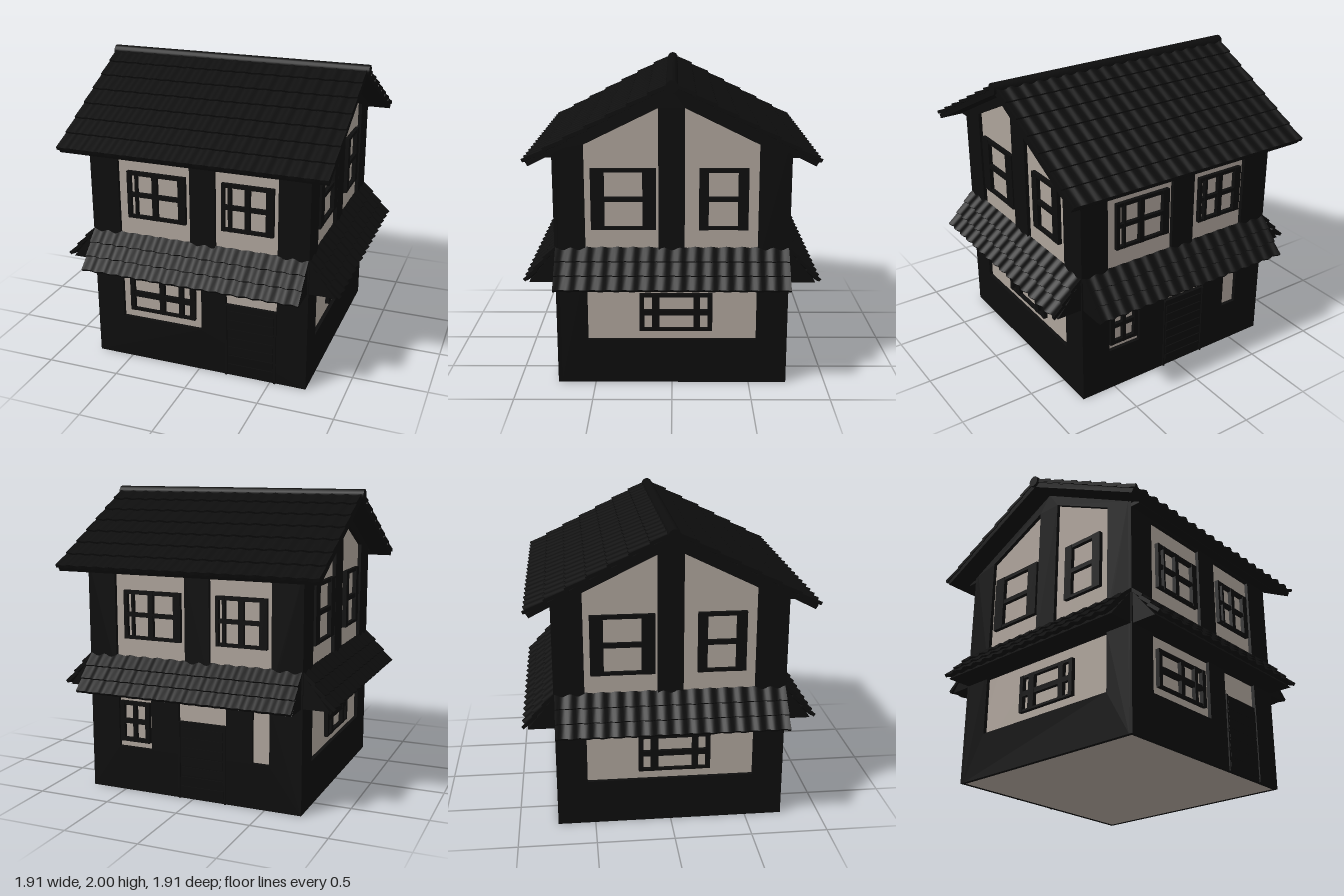
import * as THREE from 'three';

const WALL = 0.745, CORE = 0.72;

export function createModel() {
  const model = new THREE.Group();
  model.name = 'house';
  const plaster = new THREE.MeshStandardMaterial({ color: 0xaca299 });
  plaster.name = 'warm grey plaster';
  const timber = new THREE.MeshStandardMaterial({ color: 0x0d0d0d });
  timber.name = 'black timber and tile';

  const add = (parent, name, geometry, material = timber) => {
    const mesh = new THREE.Mesh(geometry, material);
    mesh.name = name;
    parent.add(mesh);
    return mesh;
  };
  const box = (parent, name, x0, x1, y0, y1, z0, z1) => {
    const mesh = add(parent, name, new THREE.BoxGeometry(x1 - x0, y1 - y0, z1 - z0));
    mesh.position.set((x0 + x1) / 2, (y0 + y1) / 2, (z0 + z1) / 2);
    return mesh;
  };
  const polygon = (points) => points.map(([x, y]) => new THREE.Vector2(x, y));

  // Prism along x from a [z, y] outline
  const prism = (points, width) => {
    const g = new THREE.ExtrudeGeometry(new THREE.Shape(polygon(points)), { depth: width, bevelEnabled: false });
    return g.rotateY(-Math.PI / 2).translate(width / 2, 0, 0);
  };

  // Timber cladding with plaster panels left open
  const cladding = (parent, outline, panels) => {
    const shape = new THREE.Shape(polygon(outline));
    for (const p of panels) shape.holes.push(new THREE.Path(polygon(p)));
    const g = new THREE.ExtrudeGeometry(shape, { depth: WALL - CORE, bevelEnabled: false });
    add(parent, 'timberCladding', g).position.z = CORE;
  };
  const rect = (x0, x1, y0, y1) => [[x0, y0], [x1, y0], [x1, y1], [x0, y1]];

  // Window frame from vertical and horizontal bars, each [from, to]
  const windowFrame = (parent, verticals, horizontals) => {
    const group = new THREE.Group();
    group.name = 'windowFrame';
    parent.add(group);
    const xs = verticals.flat(), ys = horizontals.flat();
    for (const [a, b] of verticals) box(group, 'upright', a, b, Math.min(...ys), Math.max(...ys), CORE - 0.01, 0.748);
    for (const [a, b] of horizontals) box(group, 'crossbar', Math.min(...xs), Math.max(...xs), a, b, CORE - 0.01, 0.746);
  };

  // Boarded door with frame
  const door = (parent, x0, x1) => {
    const group = new THREE.Group();
    group.name = 'door';
    parent.add(group);
    for (let i = 0; i < 7; i++) {
      const y = 0.03 + i * 0.066;
      box(group, 'doorBoard', x0 + 0.02, x1 - 0.02, y, y + 0.054, 0.74, 0.752);
    }
    for (const x of [x0, x1 - 0.012]) box(group, 'doorJamb', x, x + 0.012, 0, 0.52, 0.74, 0.755);
  };

  // Overlapping rows of rippled tiles running down from a [z, y] top to a [z, y] foot
  const tiles = (parent, name, width, top, foot, rows, columns) => {
    const run = foot[0] - top[0], drop = top[1] - foot[1];
    const length = Math.hypot(run, drop), row = length / rows;
    const slope = new THREE.Group();
    slope.name = name;
    slope.position.set(0, top[1], top[0]);
    slope.rotation.x = Math.atan2(drop, run);
    parent.add(slope);
    for (let r = 0; r < rows; r++) {
      const g = new THREE.BoxGeometry(width, 0.022, row * 1.08, columns * 6, 1, 1);
      const p = g.attributes.position;
      for (let i = 0; i < p.count; i++) {
        const wave = Math.cos((p.getX(i) / width + 0.5) * columns * Math.PI * 2);
        p.setY(i, p.getY(i) + 0.007 * wave);
        if (p.getZ(i) > 0) p.setZ(i, p.getZ(i) + 0.006 * wave);
      }
      g.computeVertexNormals();
      const mesh = add(slope, 'tileRow', g);
      mesh.position.set(0, 0.004, (r + 0.5) * row);
      mesh.rotation.x = -0.012 / row;
    }
  };

  // Plaster core with gabled ends
  add(model, 'plasterWalls', prism(
    [[-CORE, 0], [CORE, 0], [CORE, 1.55], [0, 1.925], [-CORE, 1.55]], CORE * 2), plaster);

  // Four facades, each built facing +z and then turned
  const facade = (name, angle) => {
    const group = new THREE.Group();
    group.name = name;
    group.rotation.y = angle;
    model.add(group);
    // Skirt roof between the floors
    add(group, 'skirtRoofBody', prism([[0.72, 0.69], [0.915, 0.69], [0.745, 0.9], [0.72, 0.9]], 1.47));
    tiles(group, 'skirtRoofTiles', 1.48, [0.732, 0.915], [0.928, 0.698], 3, 15);
    return group;
  };

  // Front and back
  for (const isFront of [true, false]) {
    const side = facade(isFront ? 'frontFacade' : 'backFacade', isFront ? 0 : Math.PI);
    const ground = isFront
      ? [rect(-0.55, 0.02, 0.3, 0.69), rect(0.19, 0.54, 0.52, 0.69)]
      : [rect(-0.54, -0.3, 0.3, 0.69), rect(-0.1, 0.235, 0.52, 0.69), rect(0.415, 0.53, 0.3, 0.69)];
    cladding(side, rect(-WALL, WALL, 0, 1.55),
      [rect(-0.55, -0.05, 0.8, 1.49), rect(0.12, 0.54, 0.8, 1.49), ...ground]);
    const rows = [[1.04, 1.06], [1.188, 1.215], [1.335, 1.36]];
    windowFrame(side, [[-0.485, -0.46], [-0.43, -0.415], [-0.31, -0.275], [-0.13, -0.08]], rows);
    windowFrame(side, [[0.165, 0.185], [0.21, 0.23], [0.32, 0.355], [0.46, 0.51]], rows);
    if (isFront) {
      windowFrame(side, [[-0.495, -0.465], [-0.28, -0.245], [-0.14, -0.11], [-0.06, -0.025]],
        [[0.36, 0.375], [0.465, 0.5], [0.59, 0.61]]);
      door(side, 0.19, 0.54);
    } else {
      windowFrame(side, [[-0.53, -0.5], [-0.435, -0.41], [-0.345, -0.315]],
        [[0.34, 0.365], [0.465, 0.495], [0.59, 0.615]]);
      door(side, -0.1, 0.235);
    }
    // Main roof slope and eave soffit
    tiles(side, 'mainRoofTiles', 1.78, [0, 1.968], [0.888, 1.505], 7, 18);
    add(side, 'roofDeck', prism([[0, 1.925], [0.87, 1.48], [0.885, 1.505], [0, 1.968]], 1.77));
    box(side, 'eaveSoffit', -WALL, WALL, 1.505, 1.53, 0.73, 0.81);
  }

  // Gable ends
  for (const [name, angle] of [['leftGable', Math.PI / 2], ['rightGable', -Math.PI / 2]]) {
    const side = facade(name, angle);
    cladding(side, [[-CORE, 0], [CORE, 0], [CORE, 1.555], [0, 1.93], [-CORE, 1.555]], [
      [[-0.55, 0.8], [-0.085, 0.8], [-0.085, 1.812], [-0.55, 1.585]],
      [[0.08, 0.8], [0.545, 0.8], [0.545, 1.585], [0.08, 1.812]],
      rect(-0.545, 0.545, 0.3, 0.69),
    ]);
    const rows = [[1.04, 1.06], [1.222, 1.252], [1.41, 1.435]];
    windowFrame(side, [[-0.51, -0.425], [-0.185, -0.1]], rows);
    windowFrame(side, [[0.17, 0.23], [0.415, 0.48]], rows);
    windowFrame(side, [[-0.21, -0.18], [-0.13, -0.08], [0.14, 0.18], [0.23, 0.26]],
      [[0.36, 0.375], [0.465, 0.5], [0.59, 0.61]]);
  }

  // Ridge cap
  const ridge = add(model, 'ridgeCap', new THREE.CylinderGeometry(0.038, 0.038, 1.81, 16));
  ridge.rotation.z = Math.PI / 2;
  ridge.position.y = 1.962;

  return model;
}
